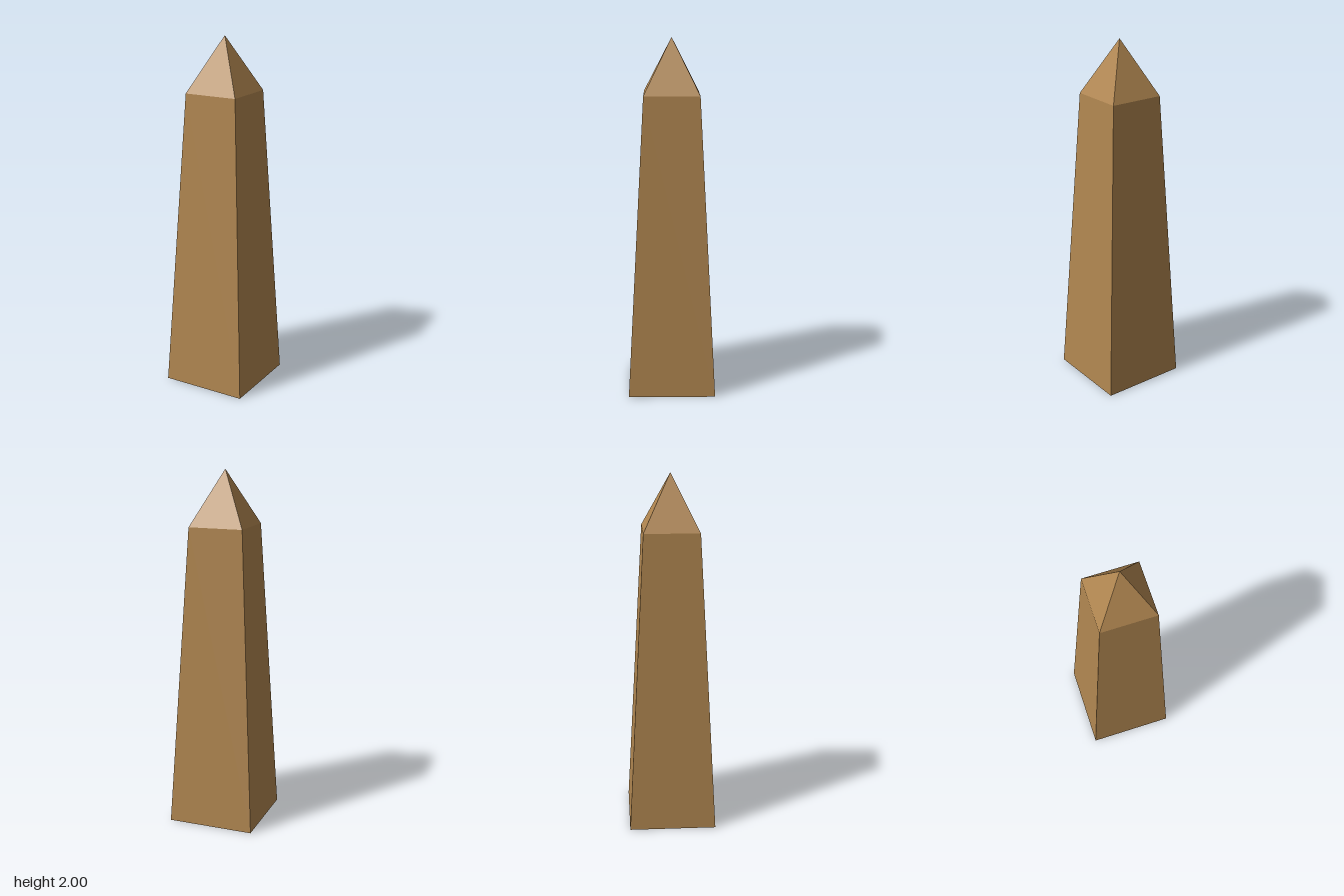
import * as THREE from 'three';

const BASE = 0.245;      // half width at the ground
const SHOULDER = 0.154;  // half width where the point begins
const SHOULDER_Y = 1.695;
const HEIGHT = 2;

export function createModel() {
  const model = new THREE.Group();
  model.name = 'obelisk';
  const stone = new THREE.MeshStandardMaterial({ color: 0xb08650, flatShading: true });

  // Square solid from a profile of [half width, height], bottom to top
  const squareSolid = (name, profile) => {
    const points = profile.map(([half, y]) => new THREE.Vector2(half * Math.SQRT2, y));
    const geometry = new THREE.LatheGeometry(points, 4, Math.PI / 4).toNonIndexed();
    geometry.computeVertexNormals();
    const mesh = new THREE.Mesh(geometry, stone);
    mesh.name = name;
    model.add(mesh);
  };

  // Tapered shaft, closed underneath
  squareSolid('shaft', [[0, 0], [BASE, 0], [SHOULDER, SHOULDER_Y]]);
  // Pyramid point
  squareSolid('pyramidTip', [[SHOULDER, SHOULDER_Y], [0, HEIGHT]]);

  return model;
}
